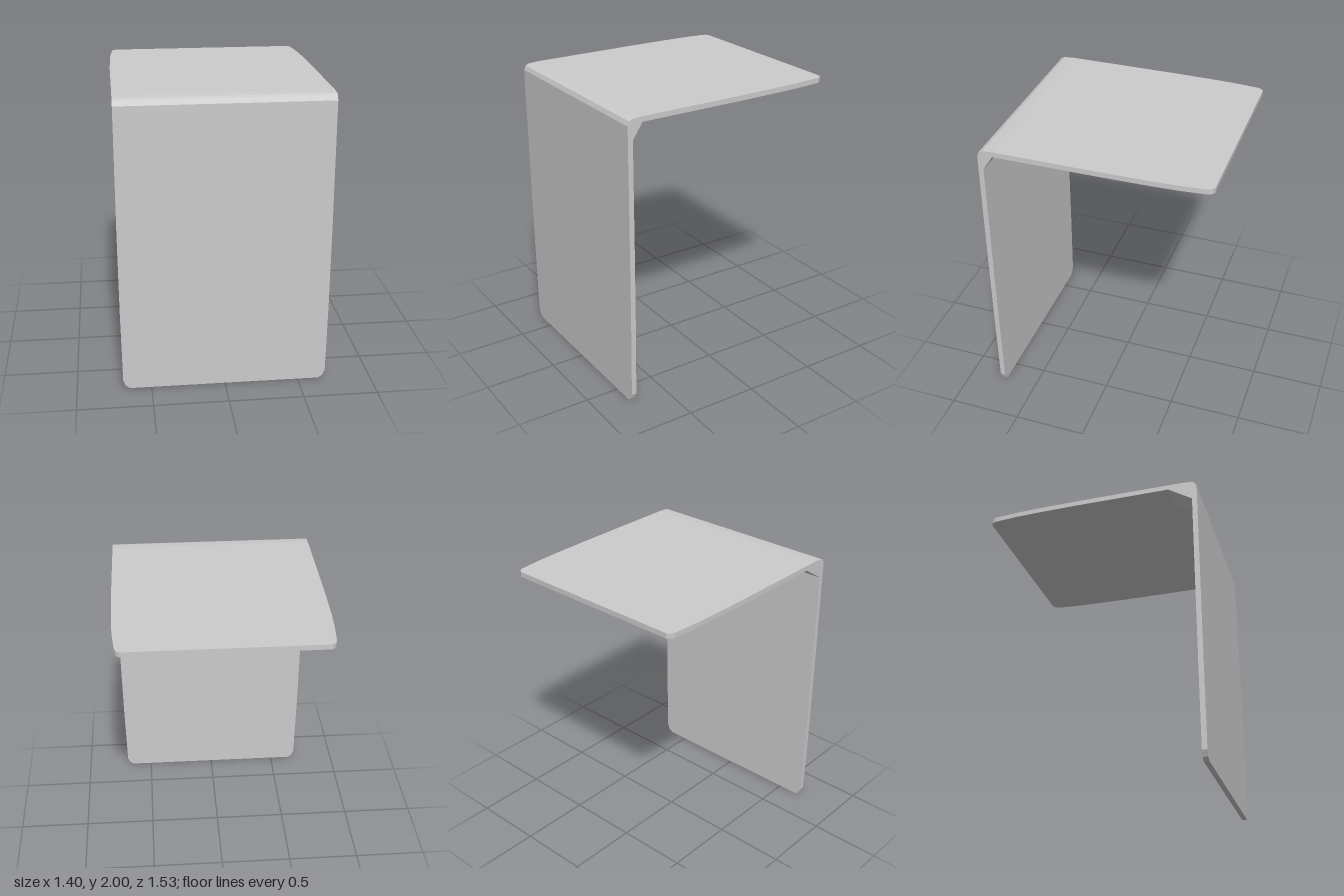
import * as THREE from 'three';

// Stations along the folded sheet: [outer z, outer y, inner z, inner y, half width]
const STATIONS = [
  // front panel, rounded bottom corners
  [0.763, 0, 0.728, 0, 0.645],
  [0.763, 0.02, 0.728, 0.02, 0.673],
  [0.763, 0.06, 0.728, 0.06, 0.69],
  [0.763, 0.55, 0.728, 0.55, 0.697],
  [0.763, 1.1, 0.728, 1.1, 0.7],
  [0.763, 1.86, 0.728, 1.86, 0.7],
  // bend: rounded outside, chamfered inside
  [0.763, 1.955, 0.712, 1.885, 0.7],
  [0.75, 1.985, 0.694, 1.913, 0.7],
  [0.725, 1.995, 0.677, 1.938, 0.7],
  [0.66, 2, 0.66, 1.965, 0.7],
  // top panel, rounded rear corners
  [-0.1, 2, -0.1, 1.965, 0.7],
  [-0.4, 2, -0.4, 1.965, 0.695],
  [-0.55, 2, -0.55, 1.965, 0.689],
  [-0.725, 2, -0.725, 1.965, 0.674],
  [-0.748, 2, -0.748, 1.965, 0.662],
  [-0.763, 2, -0.763, 1.965, 0.64],
];

// Lofts a four-cornered section through all stations and caps both ends
function foldedSheet(stations) {
  const positions = [];
  const index = [];
  for (const [oz, oy, iz, iy, w] of stations) {
    positions.push(-w, oy, oz, w, oy, oz, w, iy, iz, -w, iy, iz);
  }
  for (let i = 0; i < stations.length - 1; i++) {
    for (let j = 0; j < 4; j++) {
      const a = i * 4 + j;
      const b = i * 4 + (j + 1) % 4;
      index.push(a, b, b + 4, a, b + 4, a + 4);
    }
  }
  const k = (stations.length - 1) * 4;
  index.push(0, 2, 1, 0, 3, 2, k, k + 1, k + 2, k, k + 2, k + 3);
  const indexed = new THREE.BufferGeometry();
  indexed.setAttribute('position', new THREE.Float32BufferAttribute(positions, 3));
  indexed.setIndex(index);
  const geometry = indexed.toNonIndexed();
  geometry.computeVertexNormals();
  return geometry;
}

export function createModel() {
  const group = new THREE.Group();
  group.name = 'foldedPanel';
  const material = new THREE.MeshStandardMaterial({ color: 0xcccccc, flatShading: true });

  const sheet = new THREE.Mesh(foldedSheet(STATIONS), material);
  sheet.name = 'bentSheet';
  group.add(sheet);

  // Small brace inside the bend at the right end, profile drawn in (z, y)
  const profile = new THREE.Shape([
    new THREE.Vector2(0.728, 1.86),
    new THREE.Vector2(0.66, 1.965),
    new THREE.Vector2(0.565, 1.965),
  ]);
  const braceGeometry = new THREE.ExtrudeGeometry(profile, { depth: 0.2, bevelEnabled: false });
  braceGeometry.rotateY(-Math.PI / 2).translate(-0.5, 0, 0);
  const brace = new THREE.Mesh(braceGeometry, material);
  brace.name = 'cornerBrace';
  group.add(brace);

  return group;
}
